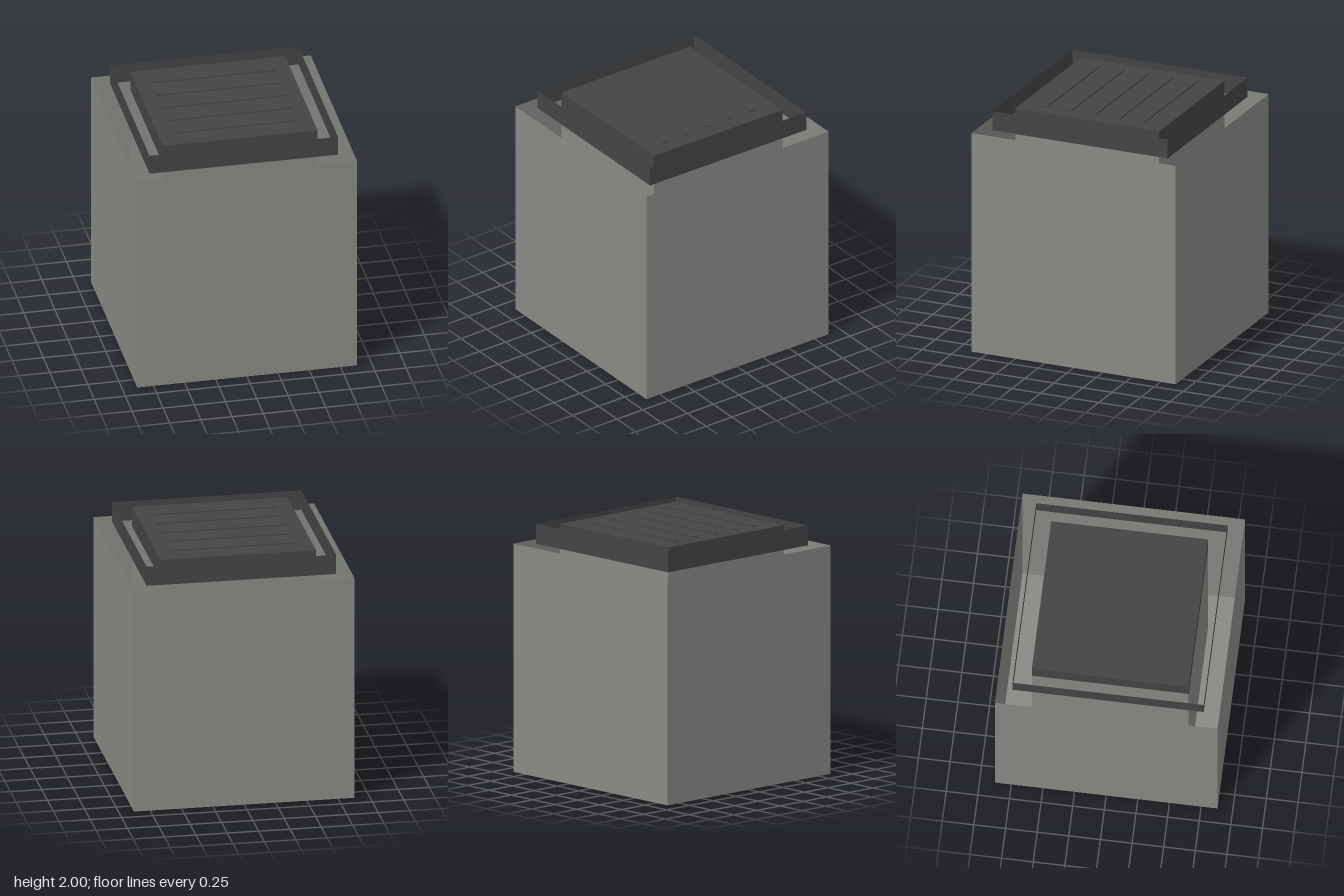
import * as THREE from 'three';

export function createModel() {
  const model = new THREE.Group();
  const stone = new THREE.MeshStandardMaterial({ color: 0x888a85, side: THREE.DoubleSide, flatShading: true });
  stone.name = 'warm grey';
  const iron = new THREE.MeshStandardMaterial({ color: 0x444444, side: THREE.DoubleSide, flatShading: true });
  iron.name = 'charcoal';

  const add = (name, geometry, material) => {
    const mesh = new THREE.Mesh(geometry, material);
    mesh.name = name;
    model.add(mesh);
  };
  // Four thin walls around a square, open above and below
  const walls = (half, y0, y1) => {
    const r = half * Math.SQRT2;
    return new THREE.CylinderGeometry(r, r, y1 - y0, 4, 1, true)
      .rotateY(Math.PI / 4).translate(0, (y0 + y1) / 2, 0);
  };
  // Flat square facing up
  const plate = (half, y) =>
    new THREE.PlaneGeometry(half * 2, half * 2).rotateX(-Math.PI / 2).translate(0, y, 0);

  // Housing: outer shell, base and inner duct with an open channel between
  add('housingWalls', walls(0.88, 0, 1.83), stone);
  add('housingBase', plate(0.88, 0), stone);
  add('innerDuct', walls(0.62, 0, 1.83), stone);

  // Raised collar standing around the vent lid
  add('collar', walls(0.755, 1.83, 1.99), iron);
  add('lidWalls', walls(0.62, 1.83, 1.99), iron);
  add('lidTop', plate(0.62, 1.99), iron);

  // Five slats across the lid
  for (let i = -2; i <= 2; i++) {
    add('slat', new THREE.BoxGeometry(1, 0.02, 0.042).translate(0, 1.99, i * 0.21), iron);
  }
  return model;
}
